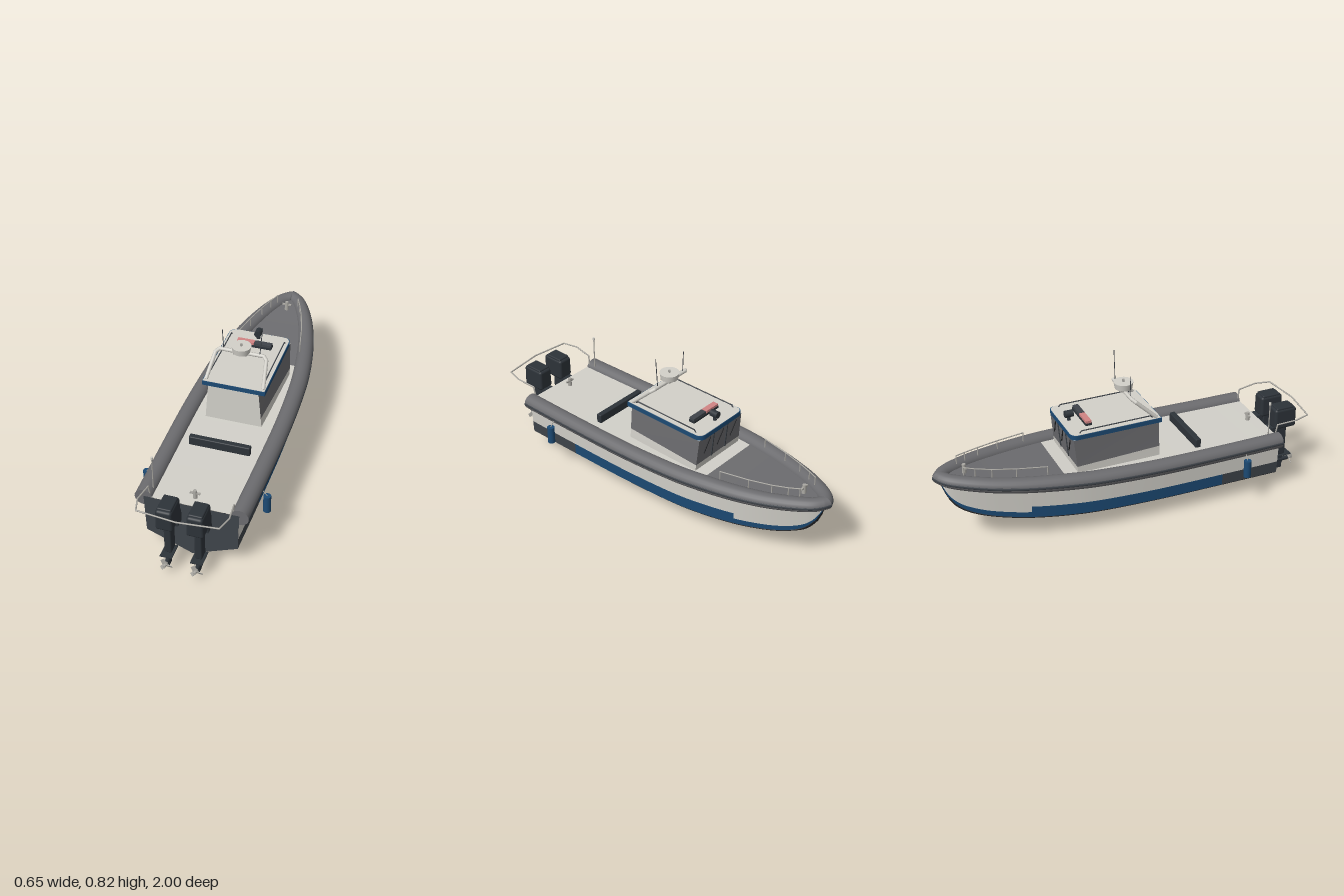
import * as THREE from 'three';
import { RoundedBoxGeometry } from 'three/addons/geometries/RoundedBoxGeometry.js';

const mat = (name, color, side = THREE.FrontSide) => new THREE.MeshStandardMaterial({ name, color, side });
const V = (x, y, z) => new THREE.Vector3(x, y, z);

export function createModel() {
  const light = mat('lightGrey', 0xd2d0c9), grey = mat('midGrey', 0x6c6c6f), blue = mat('navyBlue', 0x1c4a74);
  const black = mat('bottomBlack', 0x26272a), slate = mat('slate', 0x3f444a), metal = mat('metal', 0xaaa8a2);
  const dark = mat('engineDark', 0x2d3339), red = mat('signalRed', 0xd08484);
  const boat = new THREE.Group();
  boat.name = 'patrolBoat';

  const add = (name, geo, m, x = 0, y = 0, z = 0, parent = boat) => {
    const mesh = new THREE.Mesh(geo, m);
    mesh.name = name;
    mesh.position.set(x, y, z);
    parent.add(mesh);
    return mesh;
  };
  const box = (name, w, h, d, m, x, y, z, p) => add(name, new THREE.BoxGeometry(w, h, d), m, x, y, z, p);
  const cyl = (name, r1, r2, h, m, x, y, z, p, n = 24) => add(name, new THREE.CylinderGeometry(r1, r2, h, n), m, x, y, z, p);
  const rod = (name, a, b, r, m, p = boat) => {
    const d = b.clone().sub(a), mid = a.clone().add(b).multiplyScalar(0.5);
    const c = cyl(name, r, r, d.length(), m, mid.x, mid.y, mid.z, p, 8);
    c.quaternion.setFromUnitVectors(V(0, 1, 0), d.normalize());
  };
  const pipe = (name, pts, r, m) => {
    const g = new THREE.Group();
    g.name = name;
    boat.add(g);
    for (let i = 0; i < pts.length - 1; i++) {
      rod(name + 'Bar', pts[i], pts[i + 1], r, m, g);
      if (i) add(name + 'Joint', new THREE.SphereGeometry(r, 8, 6), m, pts[i].x, pts[i].y, pts[i].z, g);
    }
  };
  // Skin over rows of points; closed wraps each row into a ring
  const loft = (rows, flip = false, closed = false) => {
    const n = rows[0].length, idx = [];
    for (let i = 0; i < rows.length - 1; i++) {
      for (let j = 0; j < (closed ? n : n - 1); j++) {
        const k = (j + 1) % n, a = i * n + j, b = a + n, c = i * n + k, d = c + n;
        idx.push(...(flip ? [a, c, b, b, c, d] : [a, b, c, b, d, c]));
      }
    }
    const g = new THREE.BufferGeometry().setFromPoints(rows.flat());
    g.setIndex(idx);
    g.computeVertexNormals();
    return g;
  };

  // Hull lines at eleven stations, stern to bow
  const curveA = new THREE.CatmullRomCurve3([ // z, keel height, chine half-width
    [.785, .005, .228], [.46, .003, .234], [.1, .003, .236], [-.2, .005, .228], [-.38, .017, .208], [-.56, .045, .172],
    [-.7, .082, .13], [-.8, .125, .092], [-.88, .18, .055], [-.93, .25, .028], [-.965, .34, 0],
  ].map(p => V(...p)), false, 'catmullrom');
  const curveB = new THREE.CatmullRomCurve3([ // chine height, sheer half-width, sheer height
    [.10, .237, .30], [.107, .242, .302], [.113, .245, .308], [.122, .235, .318], [.13, .217, .328], [.142, .185, .338],
    [.158, .148, .348], [.178, .112, .358], [.21, .074, .366], [.262, .042, .371], [.345, 0, .375],
  ].map(p => V(...p)), false, 'catmullrom');
  const station = t => {
    const a = curveA.getPoint(t / 10), b = curveB.getPoint(t / 10);
    return { z: a.x, keel: V(0, a.y, a.x), chine: V(a.z, b.x, a.x), sheer: V(b.y, b.z, a.x) };
  };
  const span = (t0, t1, fn) => {
    const n = Math.round((t1 - t0) * 6);
    return Array.from({ length: n + 1 }, (_, i) => fn(t0 + (t1 - t0) * i / n));
  };
  const mir = (p, s) => V(p.x * s, p.y, p.z);
  const strip = (t0, t1, s, f) => loft(span(t0, t1, t => f(station(t), t).map(p => mir(p, s))), s < 0);
  const side = (q, k) => q.chine.clone().lerp(q.sheer, k);
  const radius = t => t < 4 ? .044 : .044 - .009 * (t - 4) / 6;
  const tubeFrame = t => {
    const c = station(t).sheer;
    if (t > 9.99) return { c, out: V(0, 0, -1) };
    const d = station(t + .01).sheer.sub(c);
    return { c, out: V(-d.z, 0, d.x).normalize() };
  };
  const ring = (c, out, r, h, s) => Array.from({ length: 20 }, (_, j) => {
    const a = j / 20 * Math.PI * 2, p = c.clone().addScaledVector(out, r * Math.cos(a));
    return V(Math.max(0, p.x) * s, p.y + h * Math.sin(a), p.z);
  });

  for (const s of [1, -1]) {
    add('hullBottom', strip(0, 10, s, q => [q.keel, q.chine]), black);
    add('sternBand', strip(0, 1, s, q => [q.chine, side(q, .32)]), slate);
    add('sideBand', strip(1, 5, s, q => [q.chine, side(q, .32)]), blue);
    add('bowBand', strip(5, 10, s, q => [q.chine, side(q, .15)]), blue);
    add('hullSide', strip(0, 5, s, q => [side(q, .32), q.sheer]), light);
    add('bowSide', strip(5, 10, s, q => [side(q, .15), q.sheer]), light);
    // Spray strakes along the bottom
    for (const k of [.3, .62, .94]) {
      add('strake', loft(span(0, 9, t => {
        const q = station(t);
        return ring(q.keel.lerp(q.chine, k), V(1, 0, 0), .006, .005, s);
      }), s < 0, true), black);
    }
    // Buoyancy collar with rubbing strip
    add('collar', loft(span(0, 10, t => {
      const f = tubeFrame(t);
      return ring(f.c, f.out, radius(t), radius(t) - .003, s);
    }), s < 0, true), grey);
    add('collarCap', new THREE.CircleGeometry(.044, 20), grey, s * .237, .30, .786);
    add('rubbingStrip', loft(span(0, 10, t => {
      const f = tubeFrame(t);
      return ring(f.c.addScaledVector(f.out, radius(t) - .001), f.out, .003, .007, s);
    }), s < 0, true), slate);
    // Bow rail
    const rail = [4.5, 5.4, 6.3, 7.1, 7.7].map((t, i) => {
      const q = station(t).sheer;
      return V(s * (q.x - .025), .414 + i * .006, q.z);
    });
    const foot = p => V(p.x, p.y - .055, p.z);
    pipe('bowRail', [foot(rail[0]), ...rail, foot(rail[4])], .003, metal);
    rail.slice(1, 4).forEach(p => rod('bowRailPost', foot(p), p, .003, metal));
    // Fender and its line
    cyl('fender', .019, .019, .094, blue, s * .305, .218, .565);
    rod('fenderLine', V(s * .305, .265, .565), V(s * .27, .305, .565), .002, metal);
  }

  // Transom and decks
  const tr = new THREE.Shape([[0, .005], [.228, .1], [.236, .31], [-.236, .31], [-.228, .1]].map(p => new THREE.Vector2(...p)));
  add('transom', new THREE.ShapeGeometry(tr), slate, 0, 0, .787);
  const deck = (t0, t1) => loft(span(t0, t1, t => {
    const p = station(t).sheer;
    p.y += .01;
    return [p, mir(p, -1)];
  }));
  add('aftDeck', deck(0, 4), light);
  add('foreDeck', deck(4, 10), grey);

  // Cabin tiers, wider towards the front and leaning inward
  const tier = (name, y0, y1, mats) => {
    const g = new THREE.BoxGeometry(1, 1, 1), p = g.attributes.position;
    for (let i = 0; i < p.count; i++) {
      const y = p.getY(i) > 0 ? y1 : y0, k = (y - .31) / .205, aft = p.getZ(i) > 0;
      p.setXYZ(i, Math.sign(p.getX(i)) * (aft ? .148 - .017 * k : .168 - .006 * k), y, aft ? .14 : -.308 - .02 * k);
    }
    g.computeVertexNormals();
    add(name, g, mats);
  };
  tier('cabinBase', .305, .367, light);
  tier('cabinWindows', .367, .515, [grey, grey, light, light, light, grey]);
  const roofPlan = (w, z0, z1, r) => {
    const s = new THREE.Shape();
    s.moveTo(-w, z0);
    s.lineTo(w, z0);
    s.lineTo(w, z1 - r);
    s.quadraticCurveTo(w, z1, w - r, z1);
    s.lineTo(-w + r, z1);
    s.quadraticCurveTo(-w, z1, -w, z1 - r);
    return s;
  };
  const roof = (name, w, z0, z1, y, h, m) => {
    const g = new THREE.ExtrudeGeometry(roofPlan(w, z0, z1, .04), { depth: h, bevelEnabled: false });
    add(name, g.rotateX(-Math.PI / 2), m, 0, y, 0);
  };
  roof('roofBand', .163, -.142, .338, .515, .024, blue);
  roof('roofTop', .16, -.139, .335, .537, .004, light);
  for (const x of [-.052, .052]) box('windscreenDivider', .007, .148, .004, slate, x, .441, -.323).rotation.x = -.098;
  for (const x of [-.1, 0, .1]) {
    const w = box('wiper', .005, .09, .004, black, x, .46, -.327);
    w.rotation.set(-.098, 0, .45);
  }

  // Roof rails, mast arch, radar and aerials
  for (const s of [1, -1]) {
    pipe('roofRail', [V(s * .143, .54, .1), V(s * .143, .552, .09), V(s * .143, .552, -.28), V(s * .143, .54, -.29)], .003, slate);
  }
  pipe('mastArch', [V(-.148, .54, .12), V(-.132, .638, .015), V(-.115, .65, 0), V(.115, .65, 0), V(.132, .638, .015), V(.148, .54, .12)], .01, light);
  box('radarShelf', .07, .008, .06, metal, 0, .657, .005);
  cyl('radarDome', .05, .044, .034, light, 0, .676, .005);
  cyl('radarCap', .006, .006, .014, metal, 0, .699, .005);
  rod('aerial', V(-.094, .655, 0), V(-.1, .768, 0), .002, slate);
  rod('aerial', V(.094, .655, 0), V(.107, .818, 0), .002, slate);

  // Light bar and searchlight
  box('lightBarBase', .186, .012, .034, dark, 0, .547, -.22);
  box('lightBarRed', .09, .013, .03, red, -.046, .559, -.22);
  box('lightBarDark', .09, .013, .03, slate, .046, .559, -.22);
  cyl('searchlightPost', .007, .01, .025, dark, 0, .552, -.29);
  cyl('searchlight', .018, .018, .042, dark, 0, .576, -.29).rotation.x = Math.PI / 2;

  // Bench, bollards and stern staff
  add('bench', new RoundedBoxGeometry(.314, .05, .03, 2, .005), dark, 0, .335, .355);
  for (const [y, z] of [[.33, .725], [.395, -.84]]) {
    cyl('bollard', .009, .012, .05, metal, 0, y, z, boat, 12);
    box('bollardBar', .05, .008, .01, metal, 0, y + .008, z);
  }
  rod('sternStaff', V(-.205, .32, .735), V(-.205, .505, .735), .003, metal);
  cyl('sternLamp', .006, .006, .014, light, -.205, .507, .735, boat, 12);

  // Stern guard rail
  const half = [[.205, .31, .775], [.21, .375, .785], [.222, .385, .89], [.2, .388, .968]];
  pipe('sternRail', [...half.map(p => V(...p)), V(0, .39, .99), ...half.map(p => V(-p[0], p[1], p[2])).reverse()], .004, metal);

  // Twin outboard engines
  for (const x of [-.075, .075]) {
    const e = new THREE.Group();
    e.name = 'outboardEngine';
    e.position.x = x;
    boat.add(e);
    const cowl = new RoundedBoxGeometry(.086, .115, .125, 3, .014), p = cowl.attributes.position;
    for (let i = 0; i < p.count; i++) {
      if (p.getY(i) > 0) p.setX(i, p.getX(i) * (1 - p.getY(i) * 1.6));
    }
    add('cowl', cowl, dark, 0, .338, .892, e);
    add('cowlLid', new RoundedBoxGeometry(.07, .02, .1, 2, .006), dark, 0, .393, .89, e);
    add('leg', new RoundedBoxGeometry(.036, .19, .058, 2, .008), dark, 0, .2, .885, e);
    box('bracket', .054, .075, .05, dark, 0, .25, .815, e);
    box('bracketArm', .03, .03, .06, dark, 0, .265, .85, e);
    box('cavitationPlate', .06, .005, .09, dark, 0, .104, .9, e);
    box('lowerLeg', .014, .06, .045, dark, 0, .08, .885, e);
    cyl('gearcase', .011, .013, .085, dark, 0, .065, .9, e, 12).rotation.x = Math.PI / 2;
    box('skeg', .005, .045, .035, dark, 0, .037, .89, e);
    cyl('propellerHub', .007, .01, .03, metal, 0, .065, .955, e, 12).rotation.x = Math.PI / 2;
    for (let i = 0; i < 3; i++) {
      const blade = new THREE.BoxGeometry(.02, .028, .003).rotateY(.5).translate(0, .02, 0);
      add('propellerBlade', blade, metal, 0, .065, .955, e).rotation.z = .4 + i * Math.PI * 2 / 3;
    }
  }
  return boat;
}
